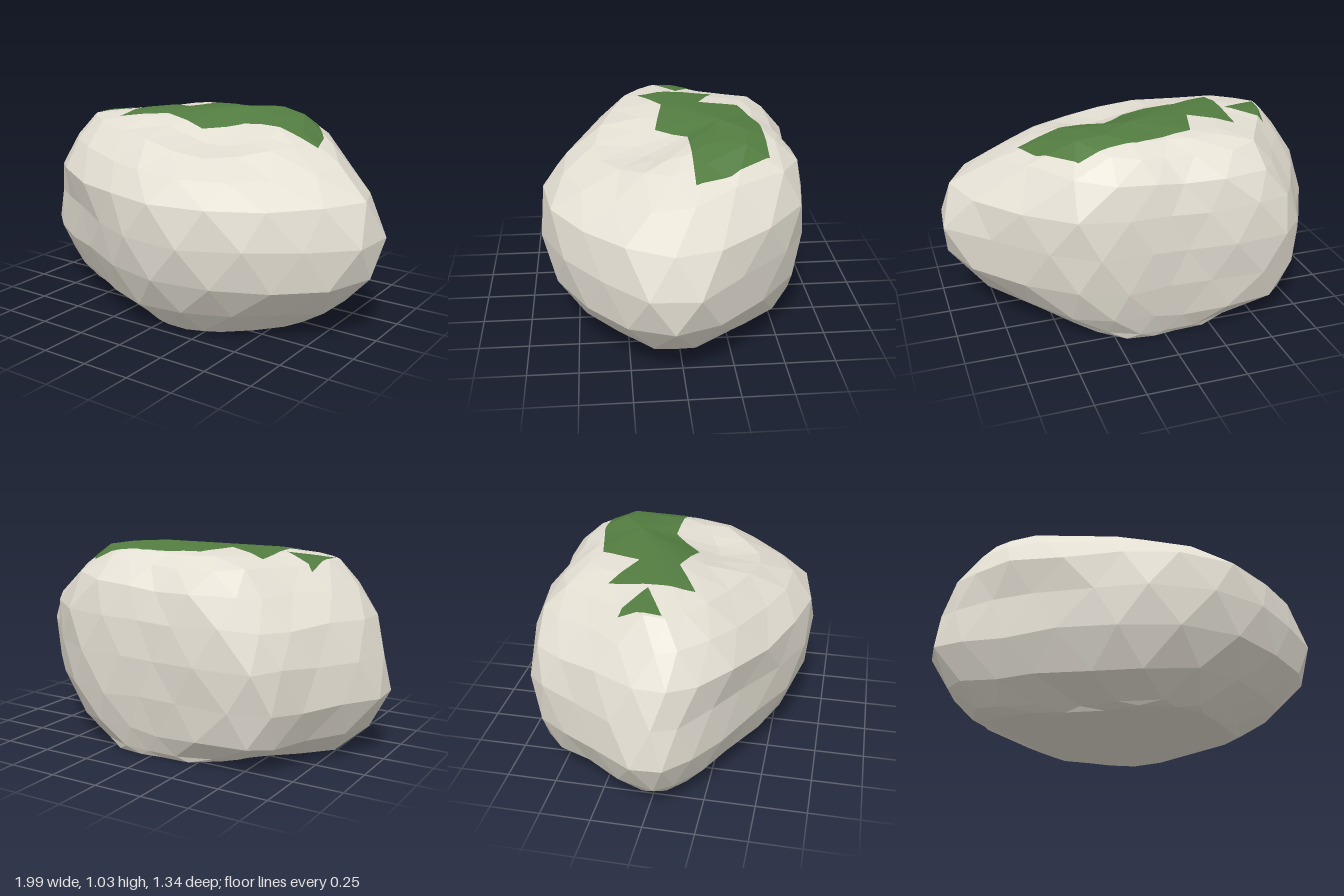
import * as THREE from 'three';

// Widest outline seen from above: x, z, going round clockwise from the -x tip
const OUTLINE = [
  [-1, 0.04], [-0.94, -0.16], [-0.8, -0.35], [-0.71, -0.53], [-0.61, -0.63], [-0.33, -0.675], [-0.08, -0.65],
  [0.1, -0.66], [0.35, -0.64], [0.57, -0.52], [0.8, -0.27], [1, -0.06], [0.98, 0.17], [0.79, 0.37],
  [0.57, 0.55], [0.28, 0.665], [-0.05, 0.645], [-0.3, 0.54], [-0.58, 0.385], [-0.76, 0.28], [-0.94, 0.15],
];

// Cross-sections: height, then the reach towards -x, +x, -z, +z
const LEVELS = [
  [0, 0.67, 0.56, 0.57, 0.42],
  [0.03, 0.78, 0.61, 0.59, 0.45],
  [0.14, 0.91, 0.8, 0.63, 0.555],
  [0.32, 1.01, 0.97, 0.66, 0.64],
  [0.52, 0.965, 1, 0.675, 0.67],
  [0.7, 0.9, 0.93, 0.66, 0.655],
  [0.84, 0.81, 0.73, 0.625, 0.55],
  [0.95, 0.71, 0.53, 0.54, 0.39],
  [0.995, 0.47, 0.41, 0.44, 0.17],
];

// Corners made fuller or cut back: x, z, amount, spread, lowest and highest level
const CORNERS = [
  [-0.65, 0.4, 0.12, 0.13, 0.6, 1],
  [0.6, -0.5, 0.06, 0.12, 0.6, 1],
  [-0.75, -0.45, 0.035, 0.1, 0.4, 0.75],
  [-0.65, -0.55, -0.18, 0.1, 0, 0.1],
  [-0.4, 0.48, -0.18, 0.08, 0, 0.1],
];

// Hollow and swelling of the top: x, z, height, spread
const SWELLS = [
  [0.2, 0.2, -0.1, 0.1],
  [0.43, -0.38, 0.065, 0.06],
];

// Moss outline as convex patches: x, z
const MOSS = [
  [[-0.67, -0.17], [-0.49, -0.07], [-0.7, 0.04]],
  [[-0.46, -0.27], [-0.24, -0.17], [-0.24, 0.03], [-0.47, 0.15]],
  [[-0.24, -0.17], [-0.18, -0.37], [0.11, -0.44], [0.18, -0.07], [0.02, 0.08], [-0.24, 0.03]],
  [[0.11, -0.44], [0.4, -0.445], [0.55, -0.24], [0.61, -0.07], [0.18, -0.07]],
];

function seeded(seed) {
  return () => {
    seed = (seed * 16807) % 2147483647;
    return seed / 2147483647 - 0.5;
  };
}

// Smooth bump around x, z
const bump = (p, x, z, spread) => Math.exp(-((p.x - x) ** 2 + (p.z - z) ** 2) / spread);

function geometryFrom(triangles) {
  const geometry = new THREE.BufferGeometry().setFromPoints(triangles.flat());
  geometry.computeVertexNormals();
  return geometry;
}

// Staggered rings joined by triangles
function rockTriangles() {
  const random = seeded(17);
  const n = OUTLINE.length;
  const curve = new THREE.CatmullRomCurve3(OUTLINE.map(([x, z]) => new THREE.Vector3(x, 0, z)), true);
  const rings = LEVELS.map(([y, left, right, back, front], k) =>
    OUTLINE.map((_, i) => {
      const p = curve.getPoint(((i + k / 2) / n) % 1);
      let fullness = 1 - Math.abs(random()) * 0.012;
      for (const [x, z, amount, spread, low, high] of CORNERS) {
        if (y >= low && y <= high) fullness += amount * bump(p, x, z, spread);
      }
      p.x *= (p.x < 0 ? left : right) * fullness;
      p.z *= (p.z < 0 ? back / 0.675 : front / 0.665) * fullness;
      p.y = y;
      if (k > 0 && k < LEVELS.length - 1) p.y += random() * 0.025;
      if (y > 0.8) {
        for (const [x, z, height, spread] of SWELLS) p.y += height * bump(p, x, z, spread);
        p.y = Math.min(p.y, 1.025);
      }
      return p;
    }));
  const bottom = new THREE.Vector3(0, 0, -0.08);
  const peak = new THREE.Vector3(0.1, 1.03, -0.24);
  const top = rings[rings.length - 1];
  const triangles = [];
  for (let i = 0; i < n; i++) {
    const j = (i + 1) % n;
    for (let k = 0; k < rings.length - 1; k++) {
      const low = rings[k], high = rings[k + 1];
      triangles.push([low[i], high[i], low[j]], [high[i], high[j], low[j]]);
    }
    triangles.push([top[i], peak, top[j]], [rings[0][j], bottom, rings[0][i]]);
  }
  return triangles;
}

// Part of a polygon inside a convex patch, cut in plan
function clip(polygon, patch) {
  patch.forEach(([ax, az], i) => {
    const [bx, bz] = patch[(i + 1) % patch.length];
    const side = (p) => (bx - ax) * (p.z - az) - (bz - az) * (p.x - ax);
    const kept = [];
    polygon.forEach((p, m) => {
      const q = polygon[(m + 1) % polygon.length];
      const sp = side(p), sq = side(q);
      if (sp >= 0) kept.push(p);
      if (sp * sq < 0) kept.push(p.clone().lerp(q, sp / (sp - sq)));
    });
    polygon = kept;
  });
  return polygon;
}

// Thin skin that follows the facets of the rock top
function mossTriangles(rock) {
  const triangles = [];
  for (const face of rock) {
    if (Math.min(...face.map((p) => p.y)) < 0.6) continue;
    for (const patch of MOSS) {
      const piece = clip(face, patch).map((p) => p.clone().setY(p.y + 0.004));
      for (let i = 1; i < piece.length - 1; i++) triangles.push([piece[0], piece[i], piece[i + 1]]);
    }
  }
  return triangles;
}

export function createModel() {
  const stone = new THREE.MeshStandardMaterial({ color: 0xe4dfd3 });
  stone.name = 'stone';
  const green = new THREE.MeshStandardMaterial({ color: 0x527c40 });
  green.name = 'mossGreen';
  stone.flatShading = green.flatShading = true;

  const group = new THREE.Group();
  group.name = 'mossyBoulder';
  const triangles = rockTriangles();
  const boulder = new THREE.Mesh(geometryFrom(triangles), stone);
  boulder.name = 'boulder';
  const moss = new THREE.Mesh(geometryFrom(mossTriangles(triangles)), green);
  moss.name = 'mossPatch';
  group.add(boulder, moss);
  return group;
}
